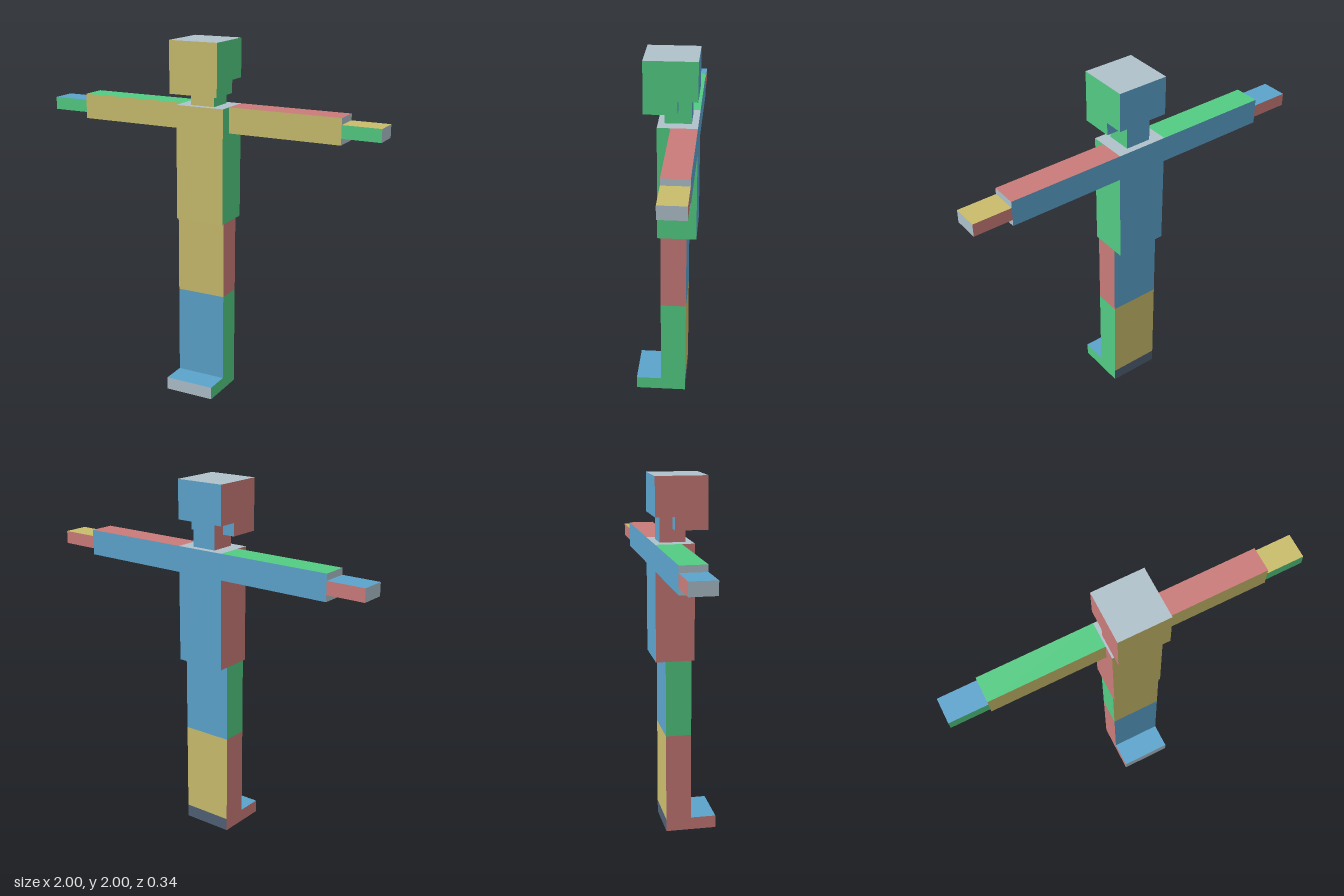
import * as THREE from 'three';

const makeMaterial = (name, color) => {
  const m = new THREE.MeshStandardMaterial({ color });
  m.name = name;
  return m;
};

export function createModel() {
  const yellow = makeMaterial('yellow', 0xc9bc6c);
  const green = makeMaterial('green', 0x53cb83);
  const blue = makeMaterial('blue', 0x5ba3cc);
  const red = makeMaterial('red', 0xc97b79);
  const grey = makeMaterial('grey', 0xafc1cb);
  const slate = makeMaterial('slate', 0x4f5f74);

  const model = new THREE.Group();
  model.name = 'blockFigure';

  const U = 1 / 14; // block unit
  const BACK = -0.17; // rearmost plane

  // Box between unit ranges; z is counted forward from the rear plane.
  // Face colours run +x, -x, top, bottom, front, back.
  function block(name, [x0, x1], [y0, y1], [z0, z1], faces, parent = model) {
    const geo = new THREE.BoxGeometry((x1 - x0) * U, (y1 - y0) * U, (z1 - z0) * U);
    const mesh = new THREE.Mesh(geo, faces);
    mesh.name = name;
    mesh.position.set(((x0 + x1) / 2) * U, ((y0 + y1) / 2) * U, BACK + ((z0 + z1) / 2) * U);
    parent.add(mesh);
  }

  const upright = [green, red, grey, slate, yellow, blue];

  // Head with a notch at the rear underside, neck and torso
  const head = new THREE.Group();
  head.name = 'head';
  model.add(head);
  block('skull', [-2, 2], [25, 28], [0, 4], upright, head);
  block('jaw', [-2, 2], [24, 25], [1.5, 4], upright, head);
  block('neck', [-1, 1], [23, 25], [0.5, 2.5], upright);
  block('torso', [-2, 2], [14, 23], [0, 3], upright);

  // Outstretched arms, colours turned with each limb
  block('leftArm', [2, 11], [21, 23], [0, 2], [grey, slate, red, green, yellow, blue]);
  block('leftHand', [11, 14], [21.5, 22.5], [0, 2], [grey, slate, yellow, blue, green, red]);
  block('rightArm', [-11, -2], [21, 23], [0, 2], [slate, grey, green, red, yellow, blue]);
  block('rightHand', [-14, -11], [21.5, 22.5], [0, 2], [slate, grey, blue, yellow, green, red]);

  // Joined legs and foot
  block('thigh', [-2, 2], [8, 14], [0.75, 2.75], [red, green, slate, grey, yellow, blue]);
  block('shin', [-2, 2], [1, 8], [0.75, 2.75], [green, red, slate, grey, blue, yellow]);
  block('foot', [-2, 2], [0, 1], [0.75, 4.75], [green, red, blue, yellow, grey, slate]);

  return model;
}
